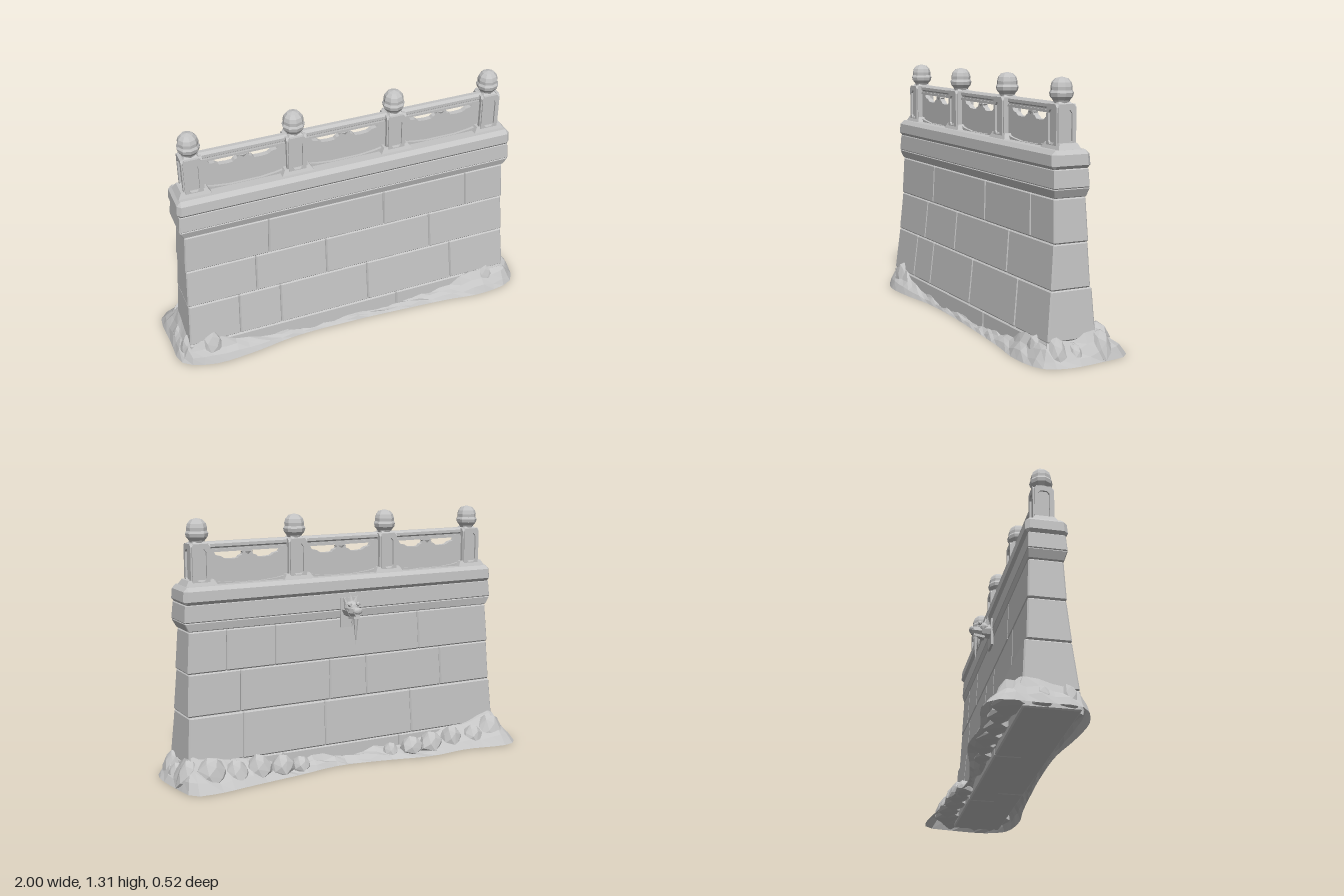
import * as THREE from 'three';
import { mergeGeometries } from 'three/addons/utils/BufferGeometryUtils.js';
import { ConvexGeometry } from 'three/addons/geometries/ConvexGeometry.js';

const stone = new THREE.MeshStandardMaterial({ color: 0xc4c4c4, side: THREE.DoubleSide });
const MID = 0.04; // z of the wall's centre plane
const lerp = THREE.MathUtils.lerp;

let seed = 7;
const rand = () => {
  seed = (seed * 16807) % 2147483647;
  return seed / 2147483647;
};

// Faceted mesh
function part(name, geo, parent, x = 0, y = 0, z = 0) {
  const g = geo.index ? geo.toNonIndexed() : geo;
  g.computeVertexNormals();
  const m = new THREE.Mesh(g, stone);
  m.name = name;
  m.position.set(x, y, z);
  parent.add(m);
  return m;
}

const shapeOf = (pts) => new THREE.Shape(pts.map(([x, y]) => new THREE.Vector2(x, y)));
const extrude = (shape, depth) => new THREE.ExtrudeGeometry(shape, { depth, bevelEnabled: false, curveSegments: 6 });

// Bevelled stone reaching from the centre plane to one face of a tapering course
function block(c, x0, x1, side, b) {
  const pts = [];
  const add = (x, y, z, inset) => {
    const t = (y - c.y[0]) / (c.y[1] - c.y[0]);
    const face = lerp(c[side][0], c[side][1], t);
    const out = face - Math.sign(face - MID) * inset;
    pts.push(new THREE.Vector3(x * lerp(c.x[0], c.x[1], t), y, z ? out : MID));
  };
  for (const [x, sx] of [[x0, 1], [x1, -1]]) {
    for (const [y, sy] of [[c.y[0], 1], [c.y[1], -1]]) {
      const xi = x + sx * b, yi = y + sy * b;
      add(x, yi, 1, b); add(xi, y, 1, b); add(xi, yi, 1, 0);
      add(x, yi, 0, 0); add(xi, y, 0, 0);
    }
  }
  return new ConvexGeometry(pts);
}

// Courses: heights, half widths, front and back z (bottom, top), joints on each face
const courses = [
  { name: 'footingCourse', y: [0, 0.1], x: [0.925, 0.918], f: [0.176, 0.172], k: [-0.09, -0.088], fj: [0.26], kj: [-0.3, 0.4] },
  { name: 'lowerCourse', y: [0.1, 0.34], x: [0.917, 0.9], f: [0.172, 0.146], k: [-0.088, -0.073], fj: [-0.64, -0.41, 0.09, 0.59], kj: [-0.38, 0.15, 0.62] },
  { name: 'middleCourse', y: [0.34, 0.555], x: [0.903, 0.89], f: [0.147, 0.128], k: [-0.064, -0.054], fj: [-0.53, -0.14, 0.46], kj: [-0.58, -0.11, 0.11, 0.62] },
  { name: 'upperCourse', y: [0.555, 0.765], x: [0.895, 0.88], f: [0.13, 0.123], k: [-0.055, -0.046], fj: [-0.45, 0.19, 0.67], kj: [-0.44, 0.42, 0.69] },
  { name: 'corniceUnderside', y: [0.765, 0.81], x: [0.882, 0.905], f: [0.124, 0.138], k: [-0.046, -0.053], fj: [], kj: [], b: 0.004 },
  { name: 'cornice', y: [0.81, 0.9], x: [0.905, 0.897], f: [0.138, 0.132], k: [-0.053, -0.049], fj: [], kj: [], b: 0.005 },
  { name: 'copingCourse', y: [0.895, 0.985], x: [0.907, 0.9], f: [0.146, 0.14], k: [-0.064, -0.058], fj: [], kj: [], b: 0.02 },
];

function buildWall(root) {
  const wall = new THREE.Group();
  wall.name = 'wall';
  root.add(wall);
  for (const c of courses) {
    const geos = [];
    for (const [side, joints] of [['f', c.fj], ['k', c.kj]]) {
      const edges = [-1, ...joints.map((j) => j / c.x[0]), 1];
      for (let i = 0; i + 1 < edges.length; i++) geos.push(block(c, edges[i], edges[i + 1], side, c.b ?? 0.007));
    }
    part(c.name, mergeGeometries(geos), wall);
  }
}

// Post with a framed panel on each face, a shoulder and a bud finial
function buildPost(x) {
  const post = new THREE.Group();
  post.name = 'railingPost';
  post.position.set(x, 0, MID);
  part('postCore', new THREE.BoxGeometry(0.086, 0.21, 0.086), post, 0, 1.075, 0);
  const w = 0.046;
  const frame = shapeOf([[-w, 0.97], [w, 0.97], [w, 1.175], [0.036, 1.19], [-0.036, 1.19], [-w, 1.175]]);
  frame.holes.push(new THREE.Path([[-0.028, 1.02], [-0.016, 1.005], [0.016, 1.005], [0.028, 1.02],
    [0.028, 1.148], [0.016, 1.163], [-0.016, 1.163], [-0.028, 1.148]].map((p) => new THREE.Vector2(...p))));
  for (let i = 0; i < 4; i++) {
    const side = new THREE.Group();
    side.name = 'postFace';
    side.rotation.y = (i * Math.PI) / 2;
    part('panelFrame', extrude(frame, 0.015), side, 0, 0, 0.038);
    post.add(side);
  }
  part('postShoulder', new THREE.CylinderGeometry(0.04, 0.065, 0.02, 4).rotateY(Math.PI / 4), post, 0, 1.19, 0);
  // Spread foot
  part('postFoot', new THREE.CylinderGeometry(0.075, 0.1, 0.035, 4).rotateY(Math.PI / 4).scale(1.25, 1, 0.9), post, 0, 0.995, 0);
  const bud = [[0.034, 1.19], [0.04, 1.205], [0.054, 1.222], [0.058, 1.24], [0.051, 1.252], [0.052, 1.268],
    [0.046, 1.288], [0.031, 1.305], [0, 1.313]].map((p) => new THREE.Vector2(...p));
  part('finial', new THREE.LatheGeometry(bud, 9), post);
  return post;
}

// Slab with two scalloped openings under a handrail
function buildRailing(root) {
  const posts = [-0.8, -0.27, 0.265, 0.795];
  posts.forEach((x) => root.add(buildPost(x)));
  for (let i = 0; i < 3; i++) {
    const bay = new THREE.Group();
    bay.name = 'railingBay';
    bay.position.set((posts[i] + posts[i + 1]) / 2, 0, MID);
    const w = 0.225;
    const slab = shapeOf([[-w, 0.97], [w, 0.97], [w, 1.165], [-w, 1.165]]);
    for (const s of [-1, 1]) {
      slab.holes.push(new THREE.Path([[0.02, 1.142], [0.182, 1.142], [0.172, 1.125], [0.145, 1.12], [0.125, 1.107],
        [0.085, 1.104], [0.055, 1.106], [0.045, 1.117], [0.03, 1.122]].map(([x, y]) => new THREE.Vector2(x * s, y))));
    }
    part('openworkSlab', extrude(slab, 0.028), bay, 0, 0, -0.014);
    part('handrail', new THREE.CylinderGeometry(0.026, 0.026, 0.45, 8).rotateZ(Math.PI / 2).rotateX(Math.PI / 8).scale(1, 0.75, 1), bay, 0, 1.177, 0);
    part('middleRail', new THREE.BoxGeometry(0.45, 0.012, 0.04), bay, 0, 1.15, 0);
    part('openingBracket', new THREE.CylinderGeometry(0.035, 0.018, 0.022, 6).scale(1, 1, 0.6), bay, 0, 1.126, 0);
    // Sill dipping between the posts
    const sill = shapeOf([[-w, 0.97], [w, 0.97], [w, 1.01], [0.16, 0.996], [0.08, 0.987], [-0.08, 0.987], [-0.16, 0.996], [-w, 1.01]]);
    part('curvedSill', extrude(sill, 0.056), bay, 0, 0, -0.028);
    root.add(bay);
  }
}

// Animal-head water spout on the back
function buildSpout(root) {
  const spout = new THREE.Group();
  spout.name = 'waterSpout';
  root.add(spout);
  const along = (r1, r0, len, n) => new THREE.CylinderGeometry(r1, r0, len, n).rotateX(-Math.PI / 2);
  part('backPlate', new THREE.BoxGeometry(0.09, 0.155, 0.014), spout, 0, 0.795, -0.053);
  part('neck', along(0.034, 0.042, 0.05, 8), spout, 0, 0.812, -0.08);
  part('head', new THREE.IcosahedronGeometry(0.04, 1).scale(1, 0.85, 0.9), spout, 0, 0.826, -0.09);
  part('snout', along(0.024, 0.03, 0.055, 7), spout, 0, 0.808, -0.13).rotation.x = 0.06;
  part('nose', new THREE.IcosahedronGeometry(0.024, 1).scale(1.1, 0.8, 0.6), spout, 0, 0.815, -0.156);
  part('lowerJaw', new THREE.BoxGeometry(0.036, 0.014, 0.06), spout, 0, 0.776, -0.118).rotation.x = 0.15;
  part('crest', new THREE.ConeGeometry(0.02, 0.05, 5), spout, 0, 0.868, -0.08);
  for (const s of [-1, 1]) {
    const ear = part('ear', new THREE.ConeGeometry(0.015, 0.05, 5), spout, s * 0.032, 0.862, -0.077);
    ear.rotation.z = -s * 0.4;
    part('brow', new THREE.IcosahedronGeometry(0.013, 0), spout, s * 0.024, 0.845, -0.115);
  }
  part('icicle', new THREE.ConeGeometry(0.014, 0.14, 6).rotateX(Math.PI), spout, 0, 0.705, -0.135);
  part('smallIcicle', new THREE.ConeGeometry(0.008, 0.06, 5).rotateX(Math.PI), spout, 0.012, 0.75, -0.115);
}

// Height of the drift against the wall
function driftHeight(x, z) {
  const end = THREE.MathUtils.smoothstep(Math.abs(x), 0.3, 0.9);
  return 0.028 + end * 0.09 + (z < 0 ? 0.02 : 0) + 0.012 * Math.sin(x * 17 + z * 9);
}

// Earth drift around the foot, lofted from a wavy outline in to the wall
function buildMound(root) {
  const outline = [[-0.97, 0.17], [-0.82, 0.24], [-0.6, 0.235], [-0.35, 0.2], [0, 0.2], [0.35, 0.22], [0.55, 0.235], [0.75, 0.258],
    [0.95, 0.22], [1, 0.12], [0.985, -0.1], [0.95, -0.24], [0.85, -0.26], [0.6, -0.225], [0.35, -0.19], [0.1, -0.15],
    [-0.15, -0.185], [-0.42, -0.24], [-0.65, -0.225], [-0.9, -0.262], [-0.98, -0.22], [-0.985, 0]];
  const curve = new THREE.CatmullRomCurve3(outline.map(([x, z]) => new THREE.Vector3(x, 0, z)), true);
  const N = 76, rings = [[0, 0], [0.22, 0.3], [0.55, 0.62], [0.85, 0.95], [1, 1]];
  const pos = [], idx = [];
  curve.getSpacedPoints(N).slice(0, N).forEach((p) => {
    const ix = THREE.MathUtils.clamp(p.x, -0.9, 0.9), iz = THREE.MathUtils.clamp(p.z, -0.075, 0.16);
    const h = driftHeight(p.x, p.z);
    rings.forEach(([t, k], r) => {
      const bump = r ? (rand() - 0.5) * 0.022 : 0;
      pos.push(lerp(p.x, ix, t), Math.max(0, h * k + bump), lerp(p.z, iz, t));
    });
  });
  const R = rings.length;
  for (let i = 0; i < N; i++) {
    const n = (i + 1) % N;
    for (let r = 0; r + 1 < R; r++) {
      const a = i * R + r, b = n * R + r;
      idx.push(a, b, a + 1, b, b + 1, a + 1);
    }
  }
  const geo = new THREE.BufferGeometry();
  geo.setAttribute('position', new THREE.Float32BufferAttribute(pos, 3));
  geo.setIndex(idx);
  part('earthDrift', geo, root);
}

// Boulders: x, z, radius, height
function buildRocks(root) {
  const rocks = [[-0.86, -0.13, 0.085, 0.15], [-0.74, -0.15, 0.06, 0.11], [-0.6, -0.14, 0.06, 0.12], [-0.46, -0.15, 0.065, 0.11],
    [-0.34, -0.15, 0.06, 0.1], [-0.22, -0.13, 0.045, 0.075], [0.32, -0.13, 0.05, 0.08], [0.43, -0.14, 0.06, 0.11],
    [0.56, -0.14, 0.065, 0.13], [0.69, -0.15, 0.065, 0.12], [0.82, -0.14, 0.08, 0.15], [0.92, -0.1, 0.06, 0.14],
    [0.93, 0.04, 0.045, 0.09], [0.91, 0.13, 0.06, 0.13], [0.8, 0.17, 0.05, 0.12], [-0.92, 0.0, 0.05, 0.11],
    [-0.91, 0.12, 0.05, 0.13], [-0.8, 0.16, 0.06, 0.155]];
  for (const [x, z, r, h] of rocks) {
    const pts = [];
    for (let i = 0; i < 22; i++) {
      const a = i * 2.4, v = (i + 0.5) / 22, k = Math.sqrt(1 - v * v) * (0.88 + rand() * 0.2);
      pts.push(new THREE.Vector3(Math.cos(a) * k * r * 1.15, v * h, Math.sin(a) * k * r));
    }
    part('boulder', new ConvexGeometry(pts), root, x, 0.003, z);
  }
}

export function createModel() {
  seed = 7;
  const root = new THREE.Group();
  root.name = 'stoneParapetWall';
  buildWall(root);
  buildRailing(root);
  buildSpout(root);
  buildMound(root);
  buildRocks(root);
  return root;
}
